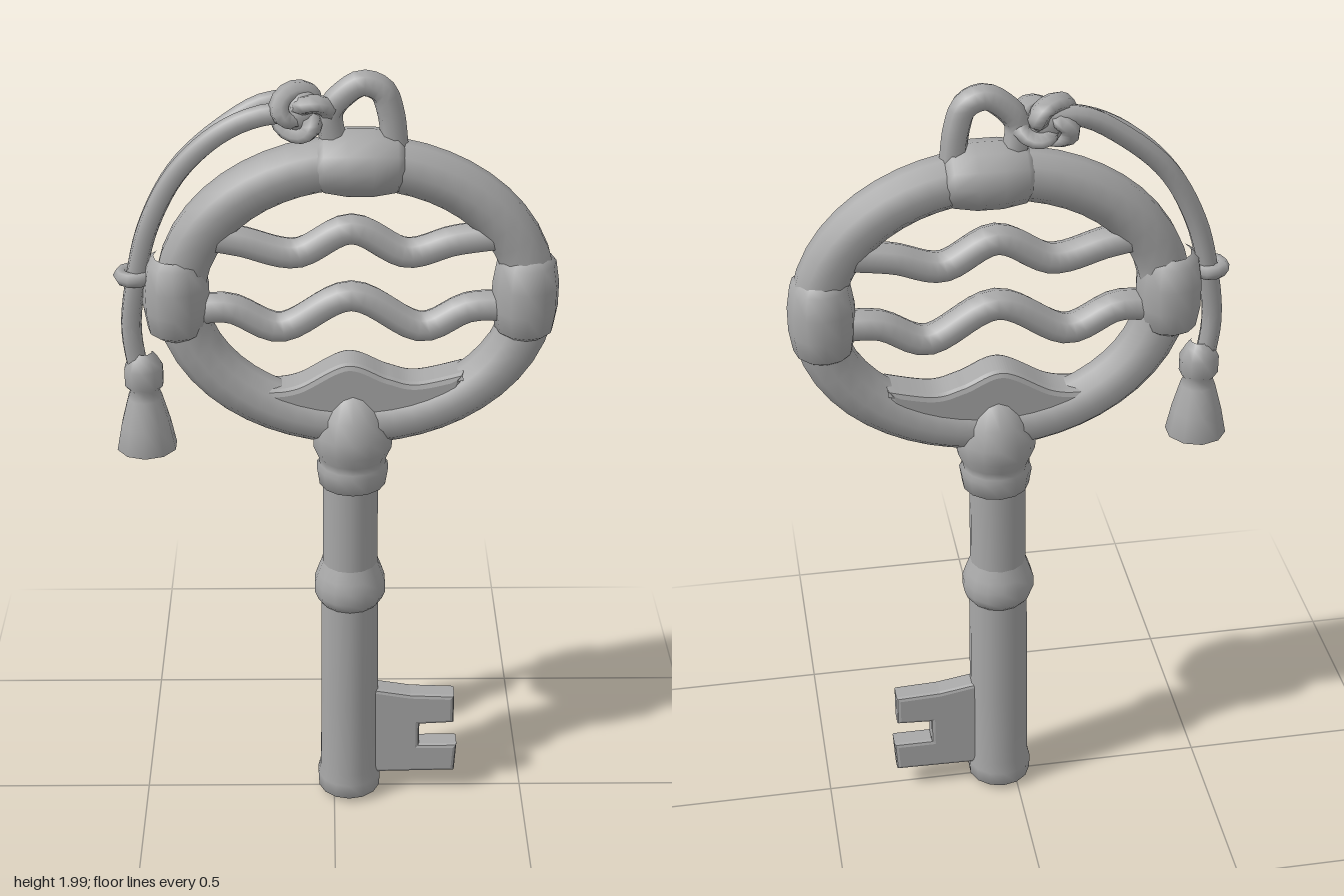
import * as THREE from 'three';

const metal = new THREE.MeshStandardMaterial({ color: 0xa8a8a8 });
metal.name = 'worn grey';

const CX = 0.045; // axis of the stem
const RING = { y: 1.45, rx: 0.415, ry: 0.33, r: 0.063 };

const vec = (x, y, z = 0) => new THREE.Vector3(x, y, z);

function add(parent, name, geometry, x = 0, y = 0, z = 0) {
  const mesh = new THREE.Mesh(geometry, metal);
  mesh.name = name;
  mesh.position.set(x, y, z);
  parent.add(mesh);
  return mesh;
}

function lathe(points, sides = 12) {
  return new THREE.LatheGeometry(points.map(([r, y]) => new THREE.Vector2(r, y)), sides);
}

// smooth tube through a few points
function tube(points, radius, steps = 24, sides = 8) {
  const curve = new THREE.CatmullRomCurve3(points.map(p => vec(...p)));
  return new THREE.TubeGeometry(curve, steps, radius, sides);
}

// flat outline extruded evenly about z = 0
function plate(shape, depth, bevel) {
  const g = new THREE.ExtrudeGeometry(shape, {
    depth: depth - 2 * bevel, bevelEnabled: true, bevelThickness: bevel,
    bevelSize: bevel, bevelOffset: -bevel, bevelSegments: 2, curveSegments: 16
  });
  g.translate(0, 0, -depth / 2 + bevel);
  return g;
}

class Oval extends THREE.Curve {
  getPoint(t, target = new THREE.Vector3()) {
    const a = t * Math.PI * 2;
    return target.set(CX + 0.005 + RING.rx * Math.cos(a), RING.y + RING.ry * Math.sin(a), 0);
  }
}

export function createModel() {
  const key = new THREE.Group();
  key.name = 'ornateKey';

  // stem with foot, middle band and neck mouldings
  add(key, 'stem', lathe([
    [0, 0.005], [0.06, 0.005], [0.082, 0.02], [0.084, 0.06], [0.077, 0.09], [0.076, 0.3],
    [0.074, 0.6], [0.071, 0.72], [0.07, 0.95], [0.07, 1.0]
  ], 14), CX - 0.005, 0);
  add(key, 'middleBand', lathe([
    [0.07, 0.595], [0.083, 0.61], [0.091, 0.63], [0.091, 0.66], [0.083, 0.685], [0.07, 0.72]
  ], 14), CX - 0.005, 0);
  add(key, 'neck', lathe([
    [0.06, 0.94], [0.083, 0.945], [0.09, 0.99], [0.082, 1.0], [0.085, 1.02], [0.098, 1.05],
    [0.1, 1.09], [0.085, 1.14], [0.05, 1.2], [0, 1.21]
  ], 14), CX, 0);

  // notched bit
  const bit = new THREE.Shape([
    [0.08, 0.065], [0.32, 0.07], [0.325, 0.155], [0.225, 0.155], [0.225, 0.22],
    [0.315, 0.225], [0.315, 0.31], [0.2, 0.315], [0.08, 0.335]
  ].map(p => new THREE.Vector2(...p)));
  add(key, 'bit', plate(bit, 0.058, 0.01));

  // oval bow ring
  add(key, 'bowRing', new THREE.TubeGeometry(new Oval(), 48, RING.r, 10, true));

  // swollen cuffs around the ring
  const cuff = lathe([
    [0.05, -0.1], [0.07, -0.085], [0.079, -0.03], [0.079, 0.03], [0.07, 0.085], [0.05, 0.1]
  ]);
  const cuffs = [
    ['rightCuff', -0.375, 1.45, 0], ['leftCuff', 0.453, 1.45, 0],
    ['topCuff', 0.06, 1.78, Math.PI / 2]
  ];
  for (const [name, x, y, turn] of cuffs) {
    const m = add(key, name, cuff, x, y);
    m.rotation.z = turn;
    m.scale.z = 1.17;
  }

  // two wavy bars across the opening
  const bars = [
    ['upperWave', [[-0.3, 1.6], [-0.22, 1.585], [-0.09, 1.555], [0.04, 1.615], [0.17, 1.555],
      [0.28, 1.585], [0.38, 1.6]]],
    ['lowerWave', [[-0.34, 1.41], [-0.25, 1.415], [-0.13, 1.365], [0.04, 1.445], [0.21, 1.365],
      [0.32, 1.415], [0.42, 1.42]]]
  ];
  for (const [name, points] of bars) {
    add(key, name, tube(points, 0.037, 32)).scale.z = 1.2;
  }

  // filled wave at the foot of the bow
  const foot = new THREE.Shape();
  foot.moveTo(-0.24, 1.22);
  foot.splineThru([[-0.17, 1.215], [-0.09, 1.225], [0.03, 1.285], [0.13, 1.25], [0.2, 1.235],
    [0.31, 1.26]].map(p => new THREE.Vector2(...p)));
  foot.lineTo(0.29, 1.17);
  foot.lineTo(0.16, 1.1);
  foot.lineTo(-0.07, 1.1);
  foot.lineTo(-0.2, 1.17);
  foot.closePath();
  add(key, 'footWave', plate(foot, 0.1, 0.015));

  // hanging loop
  add(key, 'hangingLoop', tube([
    [0.0, 1.82], [-0.01, 1.9], [0.025, 1.945], [0.065, 1.967], [0.108, 1.95], [0.128, 1.9], [0.14, 1.81]
  ], 0.031, 24)).scale.z = 1.2;

  // cord, knot and tassel
  const cord = new THREE.Group();
  cord.name = 'cordAndTassel';
  key.add(cord);
  const knot = add(cord, 'knot', new THREE.TorusKnotGeometry(0.042, 0.024, 48, 7, 2, 3), -0.075, 1.9);
  knot.scale.set(1, 0.8, 1.6);
  add(cord, 'knotCore', new THREE.SphereGeometry(0.05, 10, 8), -0.075, 1.9);
  for (const [name, y, z] of [['cordFront', 1.9, 0.02], ['cordBack', 1.915, -0.02]]) {
    add(cord, name, tube([
      [-0.05, y, z], [-0.15, y, z], [-0.25, 1.86, z * 0.8], [-0.36, 1.76, z * 0.5],
      [-0.435, 1.62, z * 0.4], [-0.47, 1.48, z * 0.3], [-0.485, 1.36, 0], [-0.472, 1.24, 0]
    ], 0.025, 32, 7));
  }
  const wrap = add(cord, 'cordWrap', new THREE.TorusGeometry(0.034, 0.018, 6, 10), -0.47, 1.5);
  wrap.rotation.x = Math.PI / 2;
  add(cord, 'tassel', lathe([
    [0, 1.045], [0.062, 1.04], [0.075, 1.045], [0.062, 1.11], [0.043, 1.18], [0.035, 1.2],
    [0.048, 1.215], [0.048, 1.26], [0.034, 1.285], [0.022, 1.3]
  ], 10), -0.46, 0);

  return key;
}
